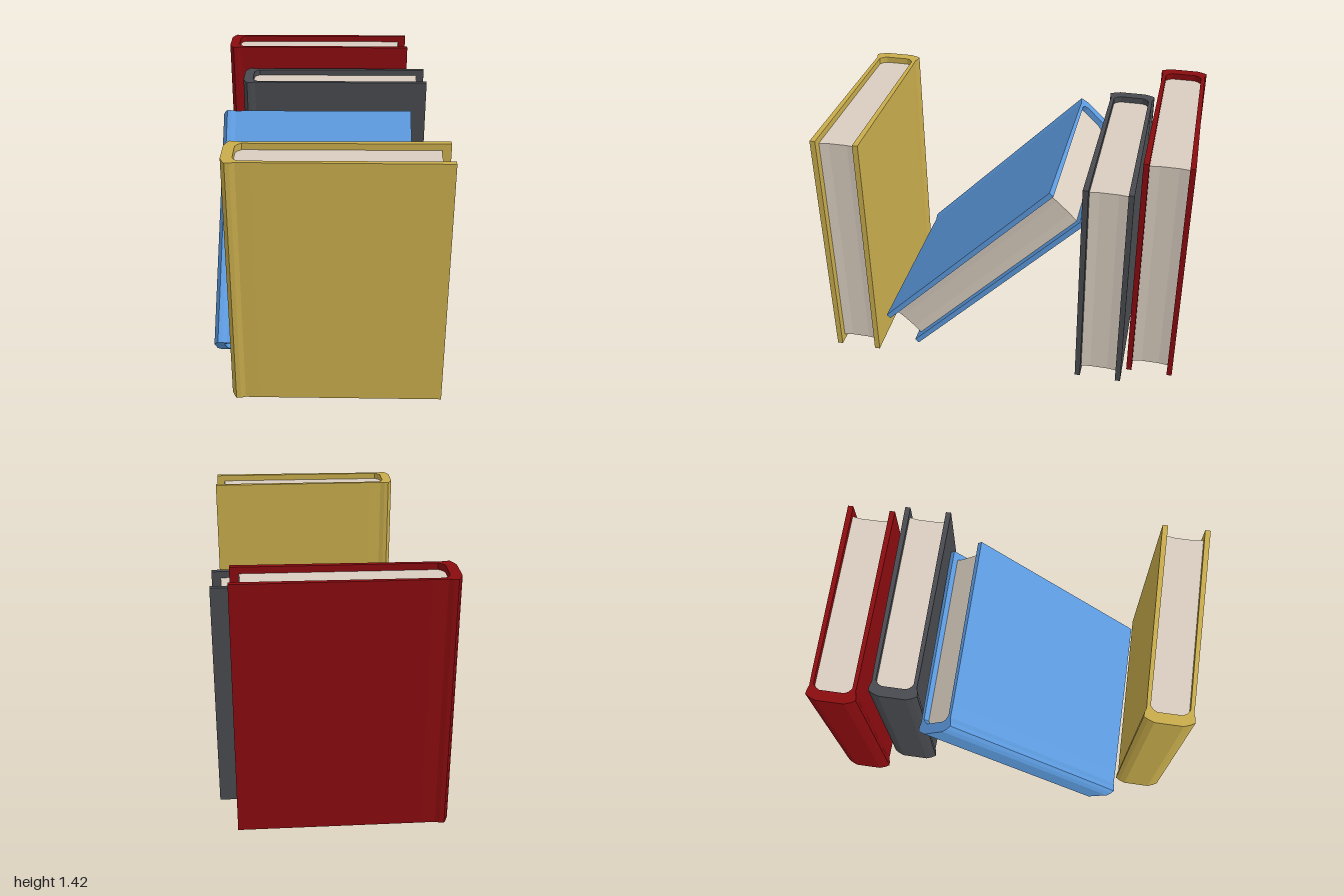
import * as THREE from 'three';

// Half profiles seen from above: [distance from spine, half thickness]
const OUTER = [[0, 0.075], [0.012, 0.108], [0.026, 0.132], [0.05, 0.13], [0.075, 0.122], [0.15, 0.124], [1.13, 0.132]];
const INNER = [[0.058, 0.065], [0.068, 0.085], [0.088, 0.102], [1.13, 0.102]];
const FORE_EDGE = [[1.085, 0.1025], [1.078, 0.05]];

const mirror = (pts) => pts.map(([x, z]) => [x, -z]);

// Extrude a closed outline upward, centred on the origin
function slab(points, height) {
  const shape = new THREE.Shape(points.map(([x, z]) => new THREE.Vector2(x - 0.565, z)));
  const geo = new THREE.ExtrudeGeometry(shape, { depth: height, bevelEnabled: false });
  geo.translate(0, 0, -height / 2);
  geo.rotateX(-Math.PI / 2);
  return geo;
}

function part(name, geometry, color) {
  const material = new THREE.MeshStandardMaterial({ color, flatShading: true });
  const mesh = new THREE.Mesh(geometry, material);
  mesh.name = name;
  return mesh;
}

function book({ name, color, height, x, y, z, lean = 0 }) {
  const group = new THREE.Group();
  group.name = name;

  // Hard cover: rounded spine and two boards in one U-shaped outline
  const cover = [
    ...mirror(OUTER), ...mirror(INNER).reverse(),
    ...INNER, ...[...OUTER].reverse(),
  ];
  group.add(part('cover', slab(cover, height), color));

  // Page block: rounded at the spine, slightly hollow at the fore edge
  const spineSide = INNER.slice(0, 3);
  const pages = [
    ...mirror(spineSide), ...mirror(FORE_EDGE),
    ...[...FORE_EDGE].reverse(), ...[...spineSide].reverse(),
  ];
  group.add(part('pages', slab(pages, height - 0.07), 0xd8cdbf));

  group.position.set(x, y, z);
  group.rotation.x = lean;
  return group;
}

export function createModel() {
  const model = new THREE.Group();
  model.name = 'books';
  const books = [
    { name: 'yellowBook', color: 0xc8ac4c, height: 1.4, x: 0.06, y: 0.73, z: 0.867 },
    { name: 'leaningBlueBook', color: 0x5c9ade, height: 1.4, x: -0.065, y: 0.6, z: 0.136, lean: -0.773 },
    { name: 'greyBook', color: 0x484a4f, height: 1.27, x: 0.04, y: 0.665, z: -0.578 },
    { name: 'redBook', color: 0x8a0b0f, height: 1.4, x: -0.065, y: 0.73, z: -0.866 },
  ];
  for (const b of books) model.add(book(b));
  return model;
}
